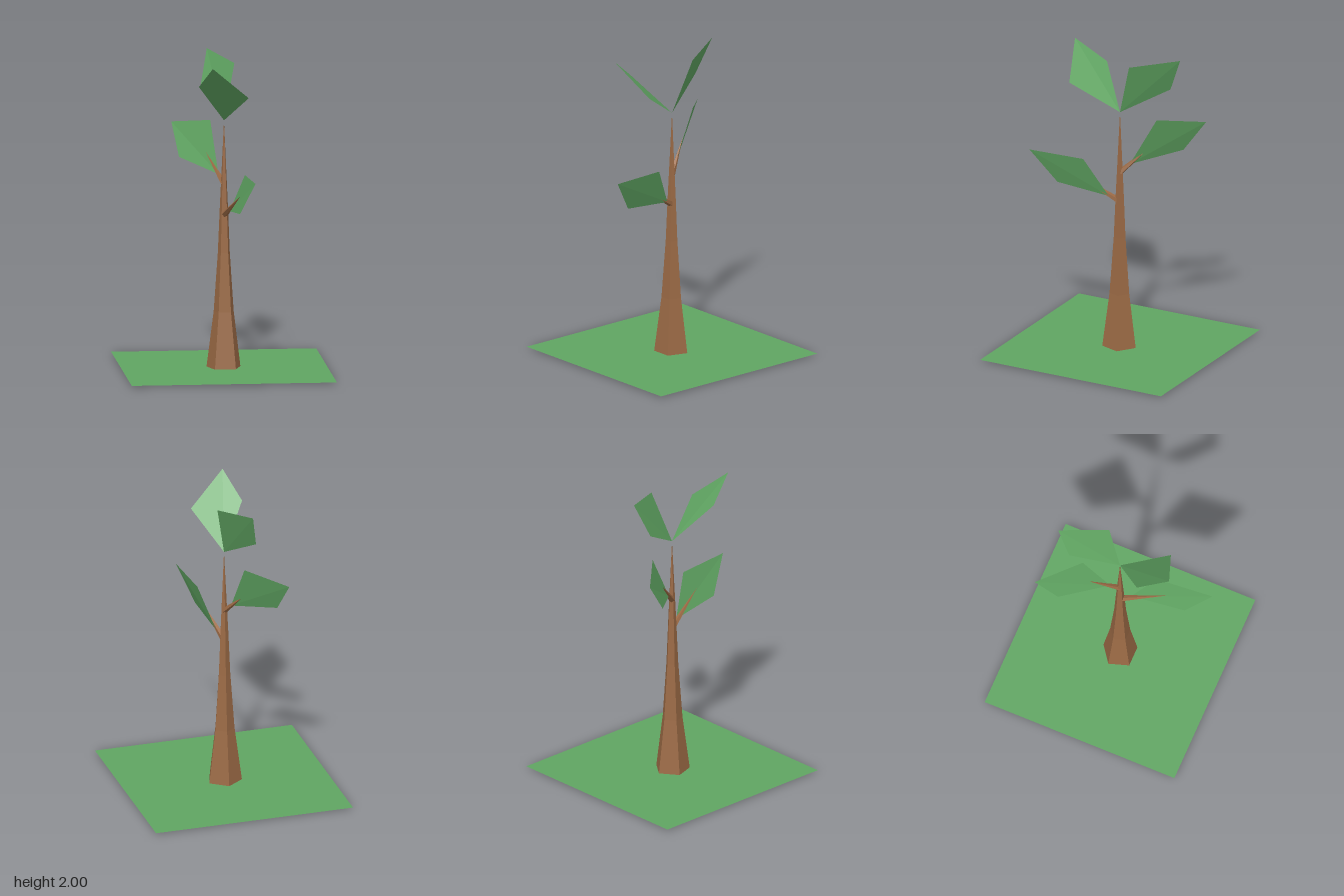
import * as THREE from 'three';

const bark = new THREE.MeshStandardMaterial({ name: 'bark brown', color: 0x9b6a45, flatShading: true });
const green = new THREE.MeshStandardMaterial({ name: 'leaf green', color: 0x60a562, flatShading: true, side: THREE.DoubleSide });

function add(parent, name, geometry, material) {
  const mesh = new THREE.Mesh(geometry, material);
  mesh.name = name;
  parent.add(mesh);
  return mesh;
}

// Four-cornered leaf: base, side, tip, side
function leafGeometry(corners) {
  const g = new THREE.BufferGeometry();
  g.setAttribute('position', new THREE.Float32BufferAttribute(corners.flat(), 3));
  g.setIndex([0, 1, 2, 0, 2, 3]);
  g.computeVertexNormals();
  return g;
}

// Tapered twig running from one point to another
function addBranch(parent, name, from, to, radius) {
  const a = new THREE.Vector3(...from);
  const dir = new THREE.Vector3(...to).sub(a);
  const length = dir.length();
  const g = new THREE.ConeGeometry(radius, length, 5);
  g.translate(0, length / 2, 0);
  const mesh = add(parent, name, g, bark);
  mesh.position.copy(a);
  mesh.quaternion.setFromUnitVectors(new THREE.Vector3(0, 1, 0), dir.normalize());
}

export function createModel() {
  const tree = new THREE.Group();
  tree.name = 'sapling';

  // Square patch of grass, just above the foot of the trunk
  const ground = new THREE.PlaneGeometry(1.31, 1.31);
  ground.rotateX(-Math.PI / 2);
  add(tree, 'ground', ground, green).position.y = 0.01;

  // Five-sided trunk, flared at the foot and pointed at the top
  const profile = [[0, 0], [0.115, 0], [0.067, 0.37], [0.04, 0.75], [0.027, 1.05], [0, 1.6]];
  add(tree, 'trunk', new THREE.LatheGeometry(profile.map(([r, y]) => new THREE.Vector2(r, y)), 5, Math.PI), bark);

  addBranch(tree, 'lowerBranch', [0, 0.99, 0], [0.075, 1.155, 0.285], 0.022);
  addBranch(tree, 'upperBranch', [0, 1.19, 0], [-0.1, 1.37, -0.175], 0.02);

  const leaves = {
    lowerLeaf: [[0.03, 1.025, 0.065], [0.06, 1.065, 0.42], [0.143, 1.285, 0.578], [0.113, 1.28, 0.205]],
    middleLeaf: [[-0.03, 1.245, -0.055], [-0.255, 1.315, -0.32], [-0.29, 1.52, -0.465], [-0.065, 1.565, -0.23]],
    topFrontLeaf: [[0, 1.6, 0], [-0.18, 1.85, 0.193], [-0.11, 1.997, 0.386], [0.128, 1.79, 0.297]],
    topBackLeaf: [[0, 1.6, 0], [0.077, 1.95, -0.107], [-0.07, 2, -0.397], [-0.12, 1.77, -0.3]],
  };
  for (const [name, corners] of Object.entries(leaves)) add(tree, name, leafGeometry(corners), green);

  return tree;
}
